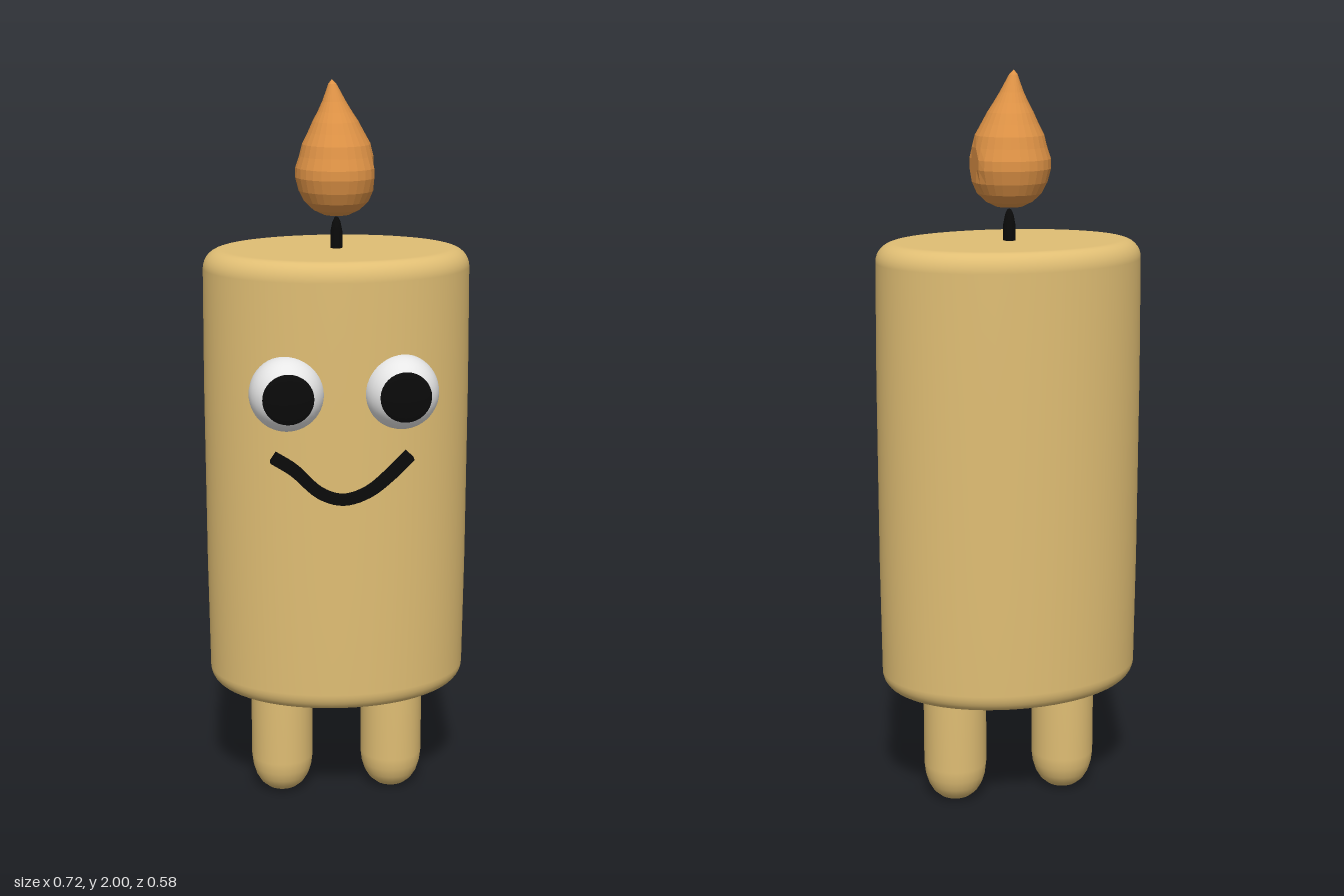
import * as THREE from 'three';

const CZ = -0.038; // depth of the candle's axis

function material(name, color, extra = {}) {
  const m = new THREE.MeshStandardMaterial({ color, ...extra });
  m.name = name;
  return m;
}

function lathe(points, segments) {
  return new THREE.LatheGeometry(points.map(([r, y]) => new THREE.Vector2(r, y)), segments);
}

export function createModel() {
  const group = new THREE.Group();
  const wax = material('wax', 0xe0be74);
  const white = material('eyeWhite', 0xeeeeee);
  const black = material('black', 0x0a0a0a);
  const fire = material('flame', 0xdf9346, { flatShading: true });

  function add(name, geometry, mat, x, y, z) {
    const mesh = new THREE.Mesh(geometry, mat);
    mesh.name = name;
    mesh.position.set(x, y, z);
    group.add(mesh);
    return mesh;
  }

  // Oval body with rounded rims
  const bottom = 0.335, top = 1.562, R = 0.355, c = 0.05;
  const profile = [[0, bottom], [R - c - 0.01, bottom]];
  for (let i = 0; i <= 8; i++) {
    const a = (i / 8) * Math.PI / 2;
    profile.push([R - c + c * Math.sin(a), bottom + c - c * Math.cos(a)]);
  }
  profile.push([R + 0.003, 0.7], [R + 0.003, 1.2]);
  for (let i = 0; i <= 8; i++) {
    const a = (i / 8) * Math.PI / 2;
    profile.push([R - c + c * Math.cos(a), top - c + c * Math.sin(a)]);
  }
  profile.push([R - c - 0.01, top], [0, top]);
  add('body', lathe(profile, 64), wax, 0, 0, CZ).scale.z = 0.255 / 0.358;

  // Legs, eyes and pupils in mirrored pairs
  const legProfile = [[0, 0], [0.025, 0.002], [0.045, 0.009], [0.062, 0.024],
    [0.075, 0.046], [0.083, 0.072], [0.087, 0.105], [0.087, 0.36]];
  for (const [side, s] of [['left', 1], ['right', -1]]) {
    add(side + 'Leg', lathe(legProfile, 32), wax, s * 0.156, 0, CZ);
    add(side + 'Eye', new THREE.SphereGeometry(0.098, 32, 24), white, s * 0.149, 1.223, 0.19);
    add(side + 'Pupil', new THREE.SphereGeometry(0.066, 32, 16), black, s * 0.15, 1.23, 0.284)
      .scale.z = 0.12;
  }

  // Smile: a ribbon along a curve, given depth
  const smile = new THREE.CatmullRomCurve3([
    [-0.187, 1.061], [-0.135, 1.027], [-0.065, 0.963], [-0.005, 0.944],
    [0.06, 0.963], [0.125, 1.014], [0.17, 1.06],
  ].map(([x, y]) => new THREE.Vector3(x, y, 0)));
  const upper = [], lower = [];
  for (let i = 0; i <= 30; i++) {
    const p = smile.getPoint(i / 30), t = smile.getTangent(i / 30);
    const w = 0.014;
    upper.push(new THREE.Vector2(p.x - t.y * w, p.y + t.x * w));
    lower.push(new THREE.Vector2(p.x + t.y * w, p.y - t.x * w));
  }
  const ribbon = new THREE.Shape([...lower, ...upper.reverse()]);
  add('mouth', new THREE.ExtrudeGeometry(ribbon, { depth: 0.032, bevelEnabled: false }),
    black, 0, 0, 0.203);

  // Wick
  add('wick', lathe([[0.016, 1.55], [0.016, 1.605], [0.011, 1.63], [0.005, 1.643], [0, 1.645]], 16),
    black, 0, 0, CZ);

  // Flame: faceted drop, flattened on one side, its tip leaning
  const flame = lathe([[0, 1.647], [0.035, 1.651], [0.062, 1.664], [0.085, 1.686], [0.1, 1.715],
    [0.109, 1.75], [0.108, 1.775], [0.098, 1.805], [0.09, 1.835], [0.074, 1.865],
    [0.06, 1.893], [0.045, 1.918], [0.031, 1.944], [0.02, 1.968], [0.011, 1.988], [0, 2]], 28);
  const pos = flame.attributes.position;
  for (let i = 0; i < pos.count; i++) {
    const lean = 0.012 * Math.max(0, (pos.getY(i) - 1.8) / 0.2) ** 2;
    pos.setX(i, Math.min(pos.getX(i), 0.095) - lean);
  }
  flame.computeVertexNormals();
  add('flame', flame, fire, 0, 0, CZ);

  return group;
}
